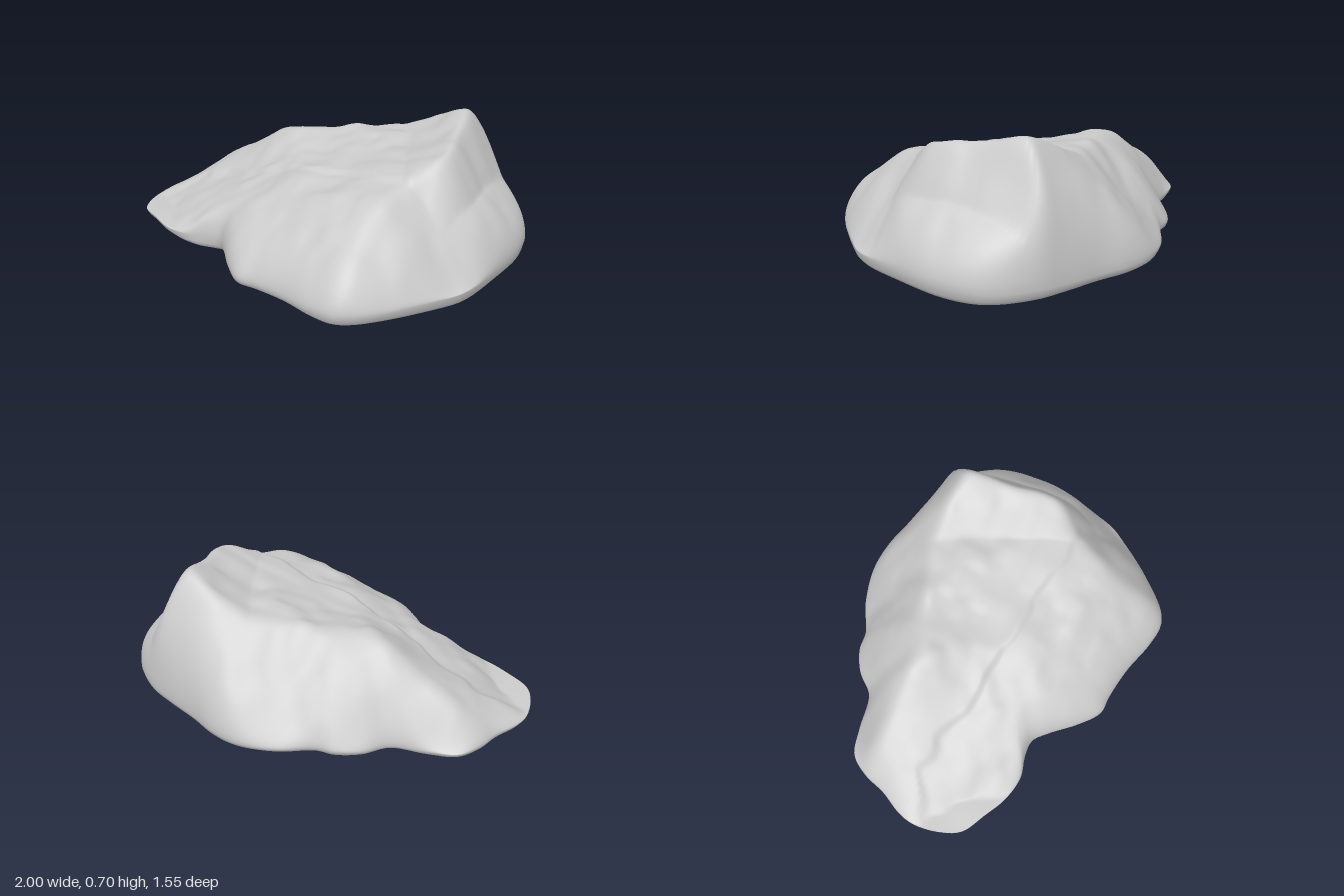
import * as THREE from 'three';
import { mergeVertices } from 'three/addons/utils/BufferGeometryUtils.js';

// Footprint of the boulder as x, z pairs, running left tip -> back -> right -> front
const FOOTPRINT = [
  -1, 0.03, -0.98, -0.06, -0.92, -0.18, -0.88, -0.3, -0.81, -0.4, -0.68, -0.44, -0.5, -0.475,
  -0.4, -0.58, -0.29, -0.64, -0.2, -0.65, -0.04, -0.735, 0.15, -0.78, 0.3, -0.755, 0.45, -0.69,
  0.62, -0.63, 0.77, -0.57, 0.9, -0.47, 0.97, -0.36, 1, -0.18, 0.98, 0.05, 0.93, 0.3,
  0.85, 0.43, 0.7, 0.62, 0.58, 0.735, 0.5, 0.77, 0.38, 0.755, 0.2, 0.7, 0.02, 0.67,
  -0.07, 0.665, -0.18, 0.58, -0.29, 0.46, -0.36, 0.4, -0.45, 0.4, -0.56, 0.425,
  -0.69, 0.4, -0.81, 0.34, -0.93, 0.27, -0.98, 0.17,
];

const CENTRE = { x: 0.08, z: 0 };
const SEGMENTS = 220;
const RINGS = 90;

const hash = (i, j) => {
  const s = Math.sin(i * 127.1 + j * 311.7) * 43758.5453;
  return s - Math.floor(s);
};

// Smooth value noise, -1 to 1
function noise(x, z) {
  const i = Math.floor(x), j = Math.floor(z);
  const u = THREE.MathUtils.smootherstep(x - i, 0, 1);
  const v = THREE.MathUtils.smootherstep(z - j, 0, 1);
  const a = THREE.MathUtils.lerp(hash(i, j), hash(i + 1, j), u);
  const b = THREE.MathUtils.lerp(hash(i, j + 1), hash(i + 1, j + 1), u);
  return THREE.MathUtils.lerp(a, b, v) * 2 - 1;
}

const softMin = (values, k) => -k * Math.log(values.reduce((sum, v) => sum + Math.exp(-v / k), 0));
const bump = (x, z, cx, cz, r) => Math.exp(-((x - cx) ** 2 + (z - cz) ** 2) / (r * r));

// Height of the upper surface: broad fracture planes, blended, then roughened
function surfaceHeight(x, z) {
  const wx = x + 0.03 * noise(x * 4 + 7, z * 4);
  const wz = z + 0.03 * noise(x * 4, z * 4 + 13);

  const terrace = 0.465 + 0.15 * wx - 0.13 * wz;
  const peak = 0.325 + 0.45 * wx - 0.28 * wz;
  const leftSlope = 0.09 + 0.6 * (wx + 1);
  const frontLeft = 0.1 + 0.35 * (0.42 - wz) + 0.45 * (wx + 0.6);
  const front = 0.42 - 0.75 * (wz - 0.47 - 0.3 * (wx - 0.4));
  const frontRight = 0.57 - 1.3 * (0.84 * wx + 0.54 * wz - 0.62);
  const cliff = 0.63 - 1.75 * (wx - 0.66);
  const shelf = 0.4 - 0.5 * (wx - 0.78);
  const back = 0.62 - 1.2 * (-wz - 0.48);
  const backLeft = 0.15 + 1.15 * (0.66 + 0.43 * wx + 0.9 * wz);

  let h = softMin([
    Math.max(terrace, peak), leftSlope, frontLeft, front,
    frontRight, Math.max(cliff, shelf), back, backLeft,
  ], 0.024);

  // shoulder on the left and a thin ledge along the upper slab
  h += 0.045 * bump(x, z, -0.38, -0.25, 0.15);
  const edge = z - 0.1 - 0.12 * x + 0.1 * noise(x * 3.1, 4.5) + 0.04 * noise(x * 9, 2.5);
  h -= 0.016 * THREE.MathUtils.smoothstep(edge, -0.02, 0.02) - 0.008;

  // roughness
  h += 0.014 * noise(x * 5, z * 5) + 0.007 * noise(x * 11 + 3, z * 11);
  return h;
}

const rimHeight = (x, z) => 0.065 + 0.04 * Math.max(0, x) + 0.01 * noise(x * 4, z * 4);
const baseHeight = (x, z) => 0.034 - 0.034 * bump(x, z, -0.45, 0.28, 0.2) + 0.005 * noise(x * 3, z * 3);

function boulderGeometry() {
  const points = [];
  for (let i = 0; i < FOOTPRINT.length; i += 2) {
    points.push(new THREE.Vector3(FOOTPRINT[i], 0, FOOTPRINT[i + 1]));
  }
  const outline = new THREE.CatmullRomCurve3(points, true).getSpacedPoints(SEGMENTS).slice(0, SEGMENTS);

  const positions = [];
  const addRing = (t, heightAt) => {
    for (const p of outline) {
      const x = CENTRE.x + (p.x - CENTRE.x) * t;
      const z = CENTRE.z + (p.z - CENTRE.z) * t;
      positions.push(x, heightAt(x, z), z);
    }
  };

  // upper surface, rounding over to the rim
  for (let r = 0; r <= RINGS; r++) {
    const t = 1 - (1 - r / RINGS) ** 1.4;
    const roll = Math.sqrt(1 - t ** 14);
    addRing(t, (x, z) => {
      const rim = rimHeight(x, z);
      return rim + Math.max(0, surfaceHeight(x, z) - rim) * roll;
    });
  }
  // tucked lower edge and nearly flat underside: [footprint scale, blend from base to rim]
  for (const [t, k] of [[0.99, 0.45], [0.97, 0.15], [0.93, 0], [0.85, 0], [0.7, 0], [0.5, 0], [0.25, 0], [0, 0]]) {
    addRing(t, (x, z) => THREE.MathUtils.lerp(baseHeight(x, z), rimHeight(x, z), k));
  }

  // the first and last rings are single points, so their bands need one triangle per step
  const indices = [];
  const rings = positions.length / 3 / SEGMENTS;
  for (let r = 0; r < rings - 1; r++) {
    for (let i = 0; i < SEGMENTS; i++) {
      const next = (i + 1) % SEGMENTS;
      const a = r * SEGMENTS + i, b = r * SEGMENTS + next;
      const c = a + SEGMENTS, d = b + SEGMENTS;
      if (r < rings - 2) indices.push(a, d, c);
      else indices.push(a, b, c);
      if (r > 0 && r < rings - 2) indices.push(a, b, d);
    }
  }

  let geometry = new THREE.BufferGeometry();
  geometry.setAttribute('position', new THREE.Float32BufferAttribute(positions, 3));
  geometry.setIndex(indices);
  geometry = mergeVertices(geometry, 1e-5);
  geometry.computeVertexNormals();
  return geometry;
}

export function createModel() {
  const group = new THREE.Group();
  group.name = 'rock';
  const boulder = new THREE.Mesh(boulderGeometry(), new THREE.MeshStandardMaterial({ color: 0xcccccc }));
  boulder.name = 'boulder';
  group.add(boulder);
  return group;
}
